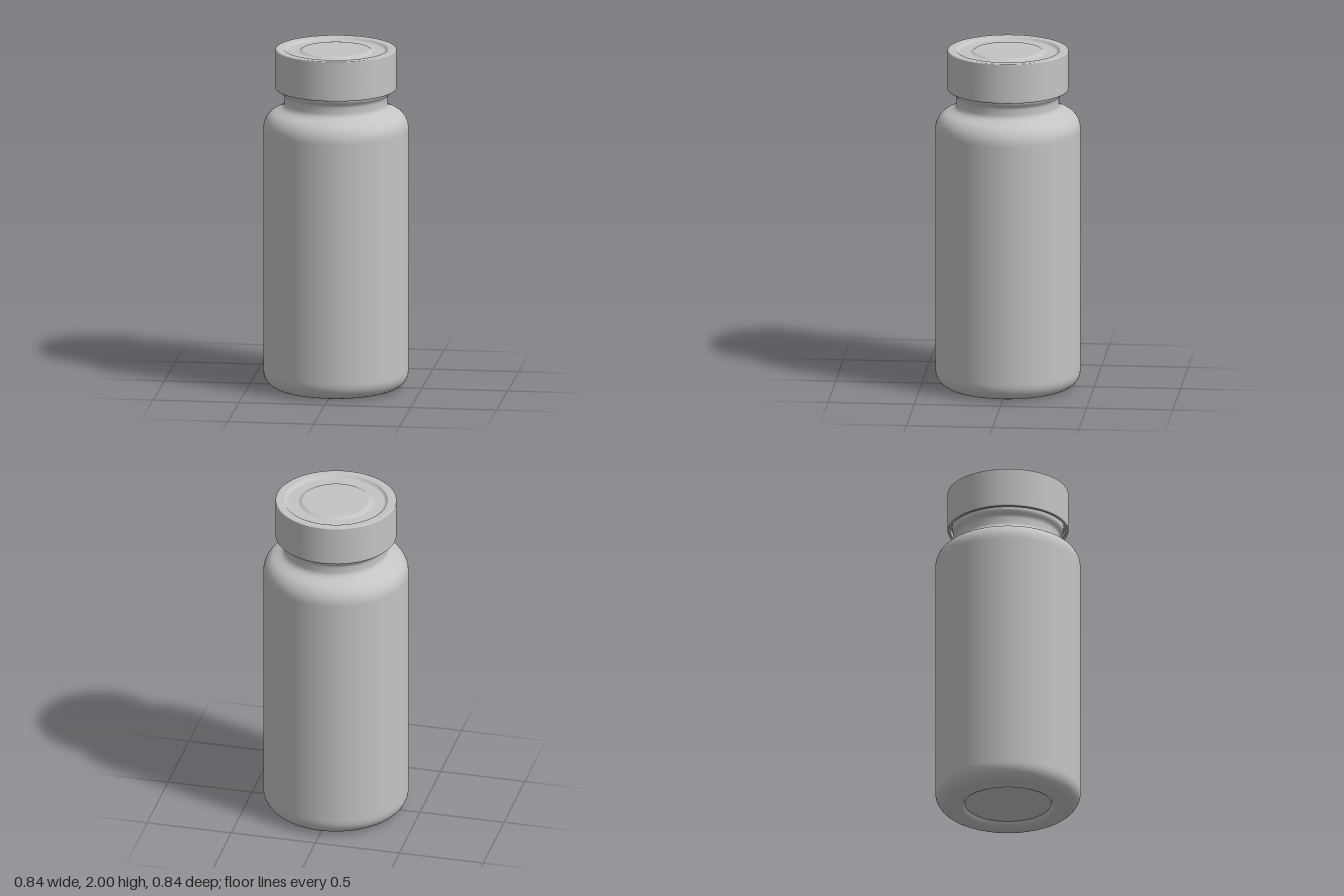
import * as THREE from 'three';

const SEGMENTS = 96;

// Quarter-ellipse corner between two tangent directions, as profile points
function corner(cx, cy, rx, ry, from, to, steps = 8) {
  const pts = [];
  for (let i = 0; i <= steps; i++) {
    const a = THREE.MathUtils.degToRad(from + (to - from) * i / steps);
    pts.push([cx + rx * Math.cos(a), cy + ry * Math.sin(a)]);
  }
  return pts;
}

// Repeating a point keeps that edge sharp
const sharp = (x, y) => [[x, y], [x, y]];

function turned(name, profile, material) {
  const points = profile.map(([x, y]) => new THREE.Vector2(Math.max(x, 0), y));
  const mesh = new THREE.Mesh(new THREE.LatheGeometry(points, SEGMENTS), material);
  mesh.name = name;
  return mesh;
}

export function createModel() {
  const group = new THREE.Group();
  group.name = 'bottle';
  const grey = new THREE.MeshStandardMaterial({ color: 0xc4c4c4 });
  grey.name = 'plain grey';

  // Body: recessed base, rounded heel, straight wall, shoulder, neck and bead
  group.add(turned('body', [
    [0, 0.03], ...sharp(0.25, 0.03),
    [0.257, 0.02], [0.265, 0.008], [0.28, 0.001], [0.3, 0],
    ...corner(0.325, 0.095, 0.095, 0.095, -90, 0),
    [0.42, 0.11], [0.42, 1.52],
    ...corner(0.32, 1.53, 0.1, 0.11, 0, 65),
    [0.335, 1.642], [0.313, 1.652], [0.301, 1.665], [0.297, 1.68],
    [0.297, 1.715], [0.3, 1.728], [0.31, 1.738], [0.318, 1.748],
    ...sharp(0.32, 1.757), ...sharp(0.32, 1.8), [0, 1.8],
  ], grey));

  // Cap: hollow skirt, flat rim, ring groove and raised centre disc
  group.add(turned('cap', [
    [0, 1.8], ...sharp(0.333, 1.8), ...sharp(0.333, 1.765), ...sharp(0.347, 1.765),
    [0.35, 1.769], [0.35, 1.775], [0.35, 1.994], [0.349, 1.998], [0.345, 2],
    [0.34, 2], [0.303, 2], [0.298, 1.998], [0.293, 1.992], [0.287, 1.986],
    [0.28, 1.984], [0.22, 1.984], [0.212, 1.986], [0.204, 1.991],
    [0.198, 1.995], [0.19, 1.996], [0.18, 1.996], [0, 1.996],
  ], grey));

  return group;
}
